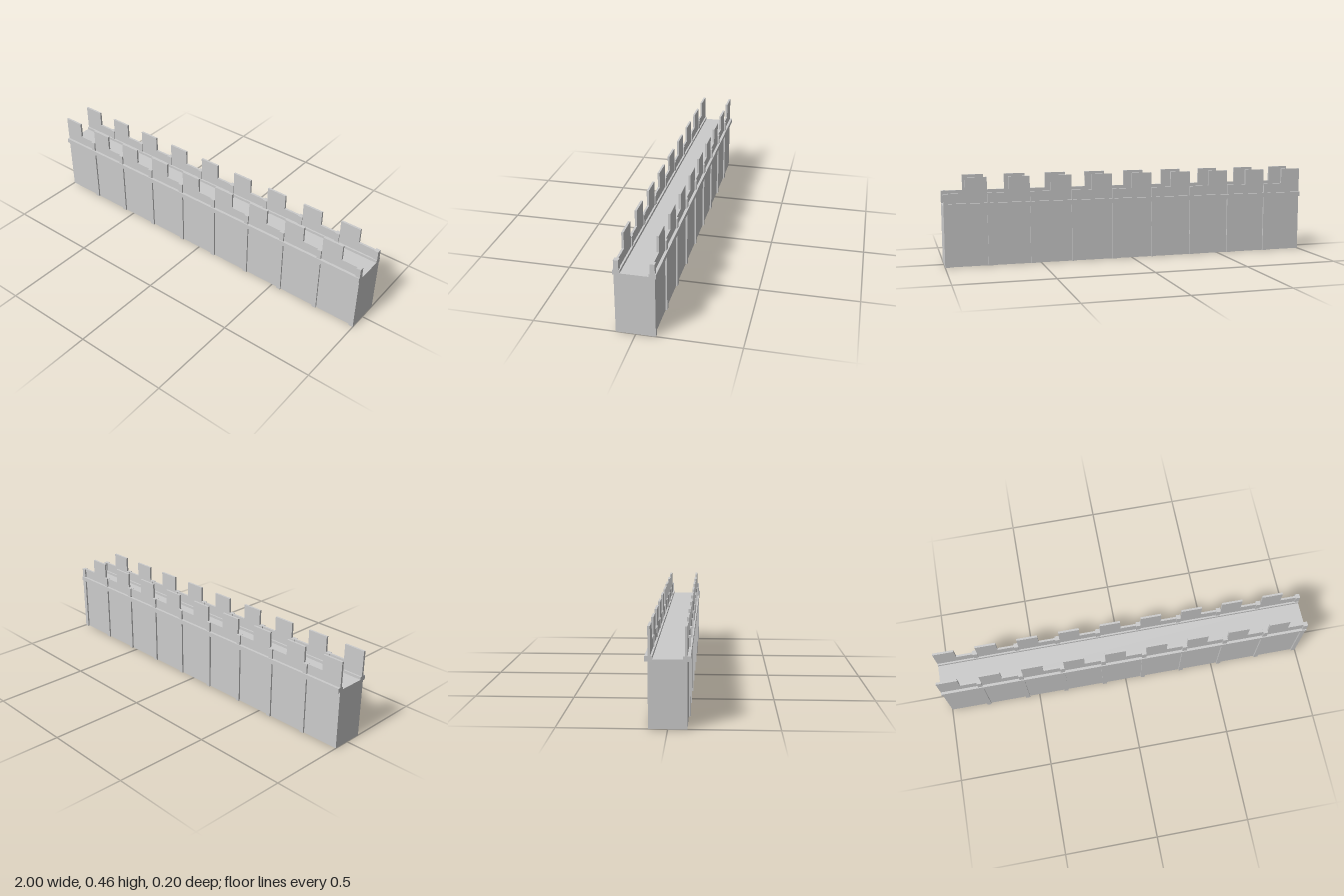
import * as THREE from 'three';

export function createModel() {
  const model = new THREE.Group();
  const stone = new THREE.MeshStandardMaterial({ color: 0xcccccc, flatShading: true });
  const thinStone = new THREE.MeshStandardMaterial({ color: 0xcccccc, flatShading: true, side: THREE.DoubleSide });

  const bays = 9, pitch = 2 / bays;
  const walkY = 0.315, parapetY = 0.38, merlonY = 0.462;
  const wallIn = 0.076, wallOut = 0.087;
  const postWidth = 0.024;

  function add(parent, name, geometry, material, x, y, z) {
    const mesh = new THREE.Mesh(geometry, material);
    mesh.name = name;
    mesh.position.set(x, y, z);
    parent.add(mesh);
    return mesh;
  }

  // Crenellated outline: each bay is half merlon, half gap
  const outline = new THREE.Shape();
  outline.moveTo(-1, 0);
  for (let i = 0; i < bays; i++) {
    const x = -1 + i * pitch;
    outline.lineTo(x, i ? parapetY : merlonY);
    if (i) outline.lineTo(x, merlonY);
    outline.lineTo(x + pitch / 2, merlonY);
    outline.lineTo(x + pitch / 2, parapetY);
  }
  outline.lineTo(1, parapetY);
  outline.lineTo(1, 0);
  const wallGeometry = new THREE.ExtrudeGeometry(outline, { depth: wallOut - wallIn, bevelEnabled: false });
  const postGeometry = new THREE.BoxGeometry(postWidth, parapetY, 0.024);
  const trimGeometry = new THREE.BoxGeometry(2, 0.024, 0.034);

  // Front and back walls with their posts and string course
  for (const side of [1, -1]) {
    const wall = new THREE.Group();
    wall.name = side > 0 ? 'frontWall' : 'backWall';
    add(wall, 'crenellatedWall', wallGeometry, stone, 0, 0, side > 0 ? wallIn : -wallOut);
    add(wall, 'stringCourse', trimGeometry, stone, 0, 0.317, side * 0.084);
    for (let i = 1; i <= bays; i++) {
      add(wall, 'post', postGeometry, stone, -1 + i * pitch - postWidth / 2, parapetY / 2, side * 0.0835);
    }
    model.add(wall);
  }

  // Walkway and end panels; the underside stays open
  const walkway = add(model, 'walkway', new THREE.PlaneGeometry(2, 2 * wallIn), thinStone, 0, walkY, 0);
  walkway.rotation.x = -Math.PI / 2;
  for (const side of [1, -1]) {
    const panel = add(model, 'endPanel', new THREE.PlaneGeometry(2 * wallIn, walkY), thinStone, side, walkY / 2, 0);
    panel.rotation.y = side * Math.PI / 2;
  }
  return model;
}
